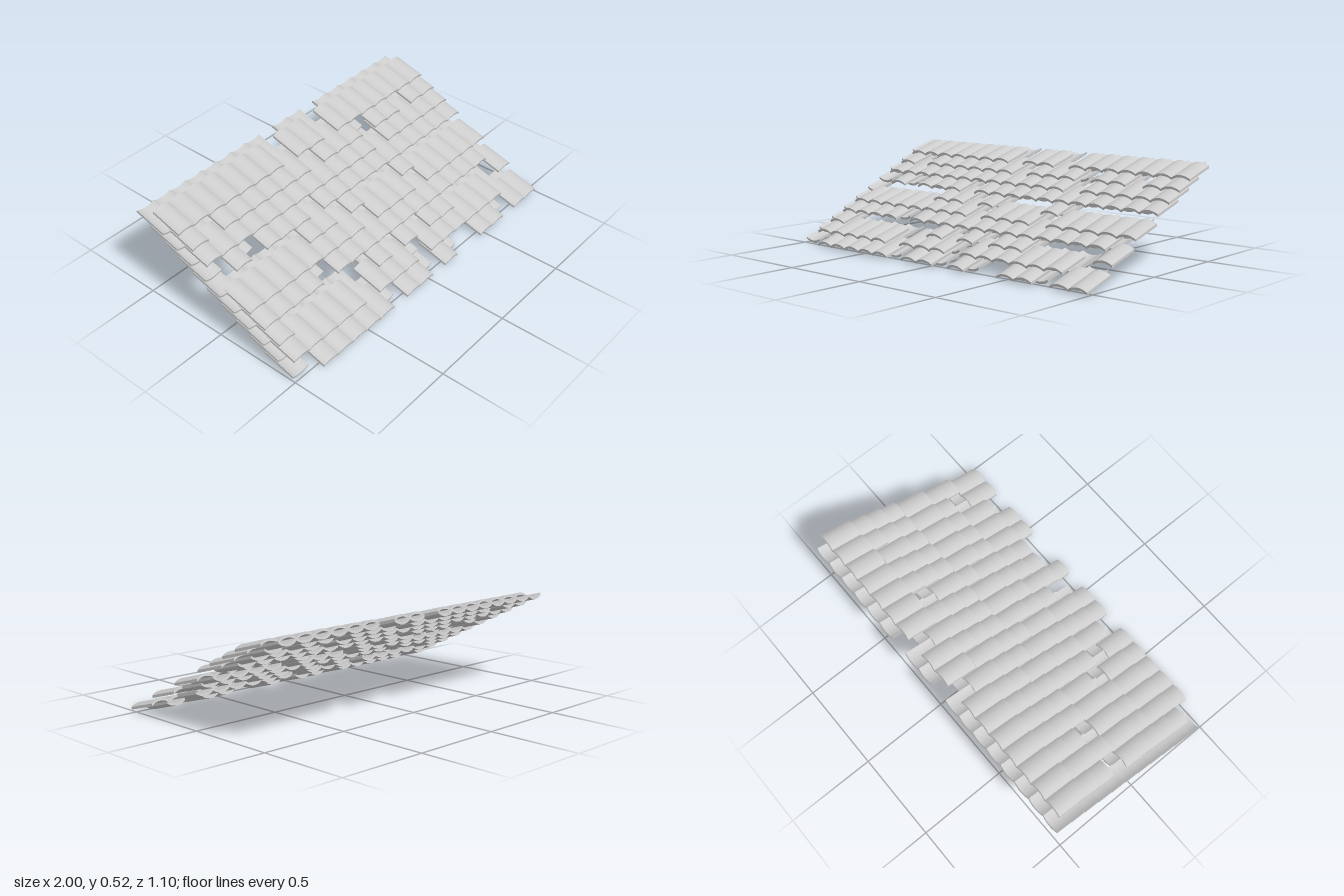
import * as THREE from 'three';
import { toCreasedNormals } from 'three/addons/utils/BufferGeometryUtils.js';

const COLUMNS = 18, ROWS = 10;
const PITCH_X = 1.946 / COLUMNS;      // tile width and column spacing
const STEP_Y = 0.0477, STEP_Z = 0.094; // rise and run per course
const TILT = 0.28, LENGTH = 0.188;
const SAG = 0.018, THICK = 0.013;

// Courses missing in each column of cover tiles; the pan to the right is missing too
const MISSING = [
  [0, 5, 6], [2, 5, 8], [2, 5, 6], [2, 5], [2, 3, 5], [1, 2],
  [0, 2, 6], [5, 9], [2, 4, 8], [0, 1, 5], [2, 5, 9], [0, 5],
  [0, 4, 7, 8], [2, 5], [2, 5], [0, 2, 5, 8], [1, 2, 5], [1, 3, 5],
];

// Curved tile with its lower front edge at the origin, running back and up.
// dir = 1 arches upward (cover), dir = -1 is a trough (pan).
function tileGeometry(dir) {
  const half = PITCH_X / 2;
  const radius = (half * half + SAG * SAG) / (2 * SAG);
  const n = 10;
  const lower = [];
  for (let i = 0; i <= n; i++) {
    const x = -half + (2 * half * i) / n;
    const rise = Math.sqrt(radius * radius - x * x) - (radius - SAG);
    lower.push(new THREE.Vector2(x, dir > 0 ? rise : SAG - rise));
  }
  const upper = lower.map((p) => new THREE.Vector2(p.x, p.y + THICK)).reverse();
  const geometry = new THREE.ExtrudeGeometry(new THREE.Shape([...lower, ...upper]), {
    depth: LENGTH, bevelEnabled: false, steps: 1,
  });
  geometry.translate(0, 0, -LENGTH);
  geometry.rotateX(TILT);
  return toCreasedNormals(geometry, 0.6);
}

export function createModel() {
  const roof = new THREE.Group();
  roof.name = 'tiledRoof';
  const material = new THREE.MeshStandardMaterial({ color: 0xcccccc });

  // Lay one kind of tile in overlapping courses
  function layTiles(name, geometry, firstX, y, z, isMissing) {
    const group = new THREE.Group();
    group.name = name + 's';
    for (let col = 0; col < COLUMNS; col++) {
      for (let row = 0; row < ROWS; row++) {
        if (isMissing(col, row)) continue;
        const tile = new THREE.Mesh(geometry, material);
        tile.name = name;
        tile.position.set(firstX + col * PITCH_X, y + row * STEP_Y, z - row * STEP_Z);
        group.add(tile);
      }
    }
    roof.add(group);
  }

  // Troughs below
  layTiles('panTile', tileGeometry(-1), -1 + PITCH_X / 2, 0, 0.479,
    (col, row) => col > 0 && MISSING[col - 1].includes(row));

  // Arches above, shifted half a tile over the joints
  layTiles('coverTile', tileGeometry(1), 1 - PITCH_X * (COLUMNS - 0.5), 0.005, 0.54,
    (col, row) => MISSING[col].includes(row));

  return roof;
}
